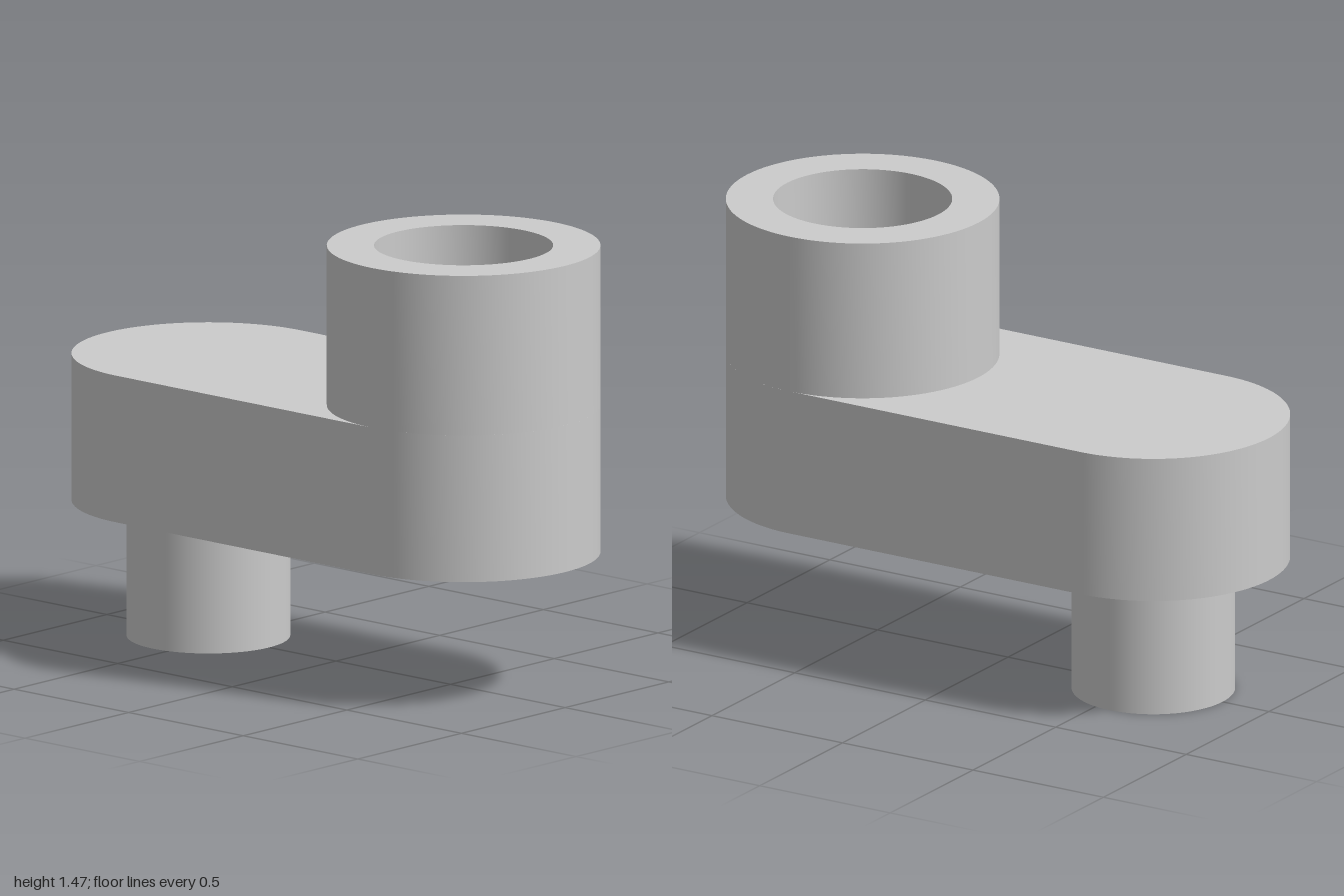
import * as THREE from 'three';
import { toCreasedNormals } from 'three/addons/utils/BufferGeometryUtils.js';

const R = 0.443;        // outer radius of the arm ends and the boss
const CX = 1 - R;       // distance of both axes from the centre
const BORE = 0.29;
const PEG_R = 0.265;
const ARM_BOTTOM = 0.45, ARM_TOP = 0.937, BOSS_TOP = 1.467;

export function createModel() {
  const group = new THREE.Group();
  const material = new THREE.MeshStandardMaterial({ color: 0xcccccc });

  const add = (name, geometry) => {
    const mesh = new THREE.Mesh(geometry, material);
    mesh.name = name;
    group.add(mesh);
    return mesh;
  };

  // Extrudes a plan outline upwards between two heights, with the bore cut out
  const extrudeUp = (shape, bottom, top) => {
    shape.holes.push(new THREE.Path().absarc(CX, 0, BORE, 0, Math.PI * 2, true));
    const geometry = new THREE.ExtrudeGeometry(shape, {
      depth: top - bottom, bevelEnabled: false, curveSegments: 48,
    });
    geometry.rotateX(-Math.PI / 2);
    geometry.translate(0, bottom, 0);
    return toCreasedNormals(geometry, 0.6);
  };

  // Slot-shaped arm with the bore through its left end
  const slot = new THREE.Shape();
  slot.absarc(CX, 0, R, -Math.PI / 2, Math.PI / 2, false);
  slot.absarc(-CX, 0, R, Math.PI / 2, Math.PI * 1.5, false);
  slot.closePath();
  add('arm', extrudeUp(slot, ARM_BOTTOM, ARM_TOP));

  // Tubular boss rising from the arm
  const ring = new THREE.Shape().absarc(CX, 0, R, 0, Math.PI * 2, false);
  add('boss', extrudeUp(ring, ARM_TOP, BOSS_TOP));

  // Solid peg under the other end
  const peg = add('peg', new THREE.CylinderGeometry(PEG_R, PEG_R, ARM_BOTTOM, 96));
  peg.position.set(-CX, ARM_BOTTOM / 2, 0);

  return group;
}
